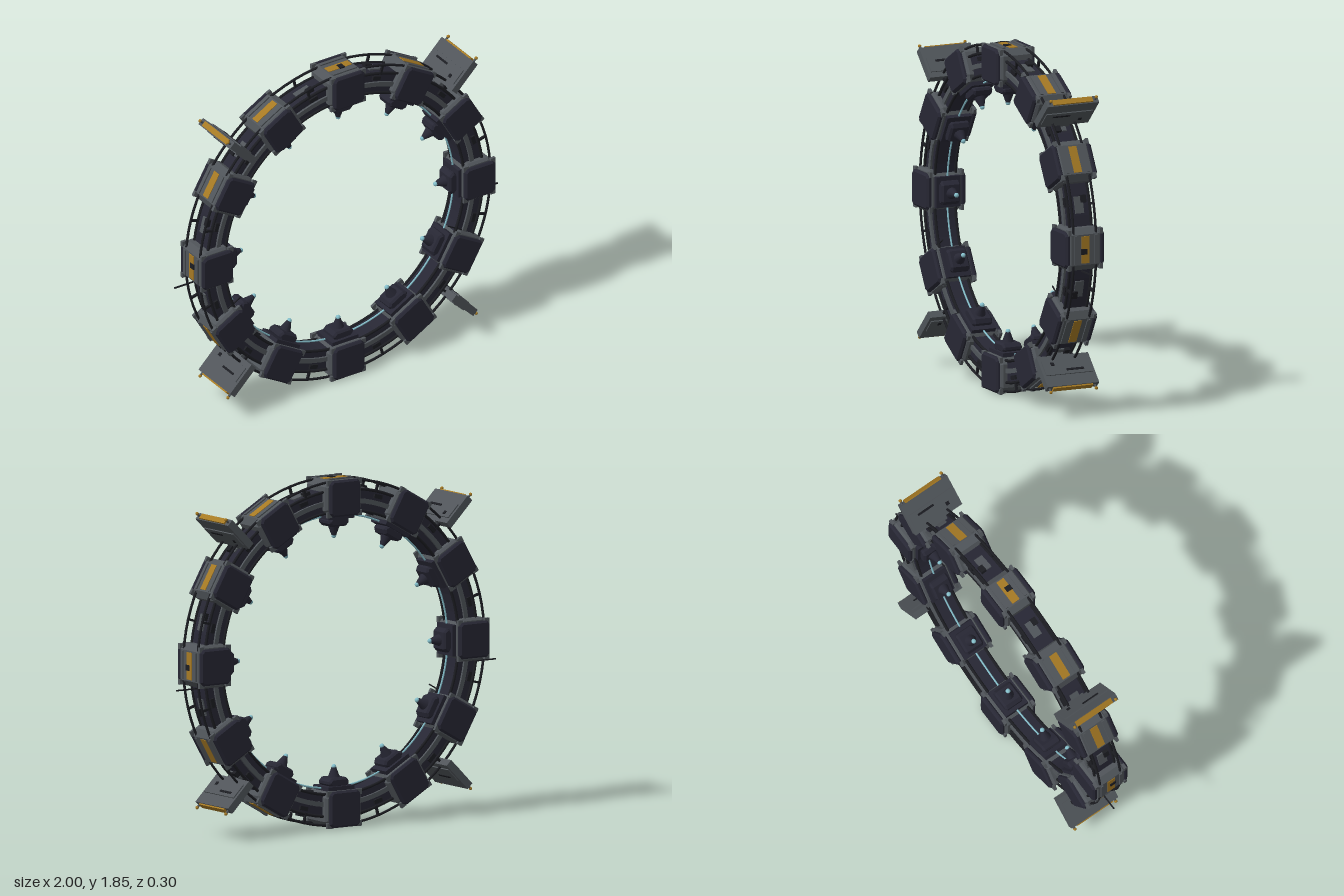
import * as THREE from 'three';

const mat = (name, color) => {
  const m = new THREE.MeshStandardMaterial({ color });
  m.name = name;
  return m;
};

export function createModel() {
  const navy = mat('dark navy armour', 0x272734);
  const grey = mat('gunmetal grey', 0x50555a);
  const amber = mat('amber', 0xa67a24);
  const cyan = mat('pale cyan', 0x86c0cc);
  const black = mat('near black', 0x1c1d22);

  const model = new THREE.Group();
  model.name = 'ringGate';
  const ring = new THREE.Group();
  ring.name = 'ring';
  ring.position.y = 0.928;
  model.add(ring);

  const add = (parent, name, geo, material, x = 0, y = 0, z = 0) => {
    const m = new THREE.Mesh(geo, material);
    m.name = name;
    m.position.set(x, y, z);
    parent.add(m);
    return m;
  };
  const box = (parent, name, material, w, h, d, x, y, z) =>
    add(parent, name, new THREE.BoxGeometry(w, h, d), material, x, y, z);
  // Group whose local +y points outward along the ring radius
  const spoke = (name, degrees) => {
    const g = new THREE.Group();
    g.name = name;
    g.rotation.z = -THREE.MathUtils.degToRad(degrees);
    ring.add(g);
    return g;
  };
  // Chamfered block, centred on its own origin, with bevelled front and back
  const block = (w, h, d, cut, bevel) => {
    const a = w / 2 - bevel, b = h / 2 - bevel;
    const s = new THREE.Shape([
      [a, -b + cut], [a, b - cut], [a - cut, b], [-a + cut, b],
      [-a, b - cut], [-a, -b + cut], [-a + cut, -b], [a - cut, -b],
    ].map(([x, y]) => new THREE.Vector2(x, y)));
    const g = new THREE.ExtrudeGeometry(s, {
      depth: d - 2 * bevel, bevelSize: bevel, bevelThickness: bevel, bevelSegments: 1,
    });
    return g.translate(0, 0, bevel - d / 2);
  };
  // Flat band of rectangular section running round the ring
  const band = (name, material, r0, r1, z0, z1) => {
    const s = new THREE.Shape().absarc(0, 0, r1, 0, Math.PI * 2);
    s.holes.push(new THREE.Path().absarc(0, 0, r0, 0, Math.PI * 2, true));
    add(ring, name, new THREE.ExtrudeGeometry(s, {
      depth: z1 - z0, bevelEnabled: false, curveSegments: 48,
    }), material, 0, 0, z0);
  };
  const hoop = (name, material, r, tube, z) =>
    add(ring, name, new THREE.TorusGeometry(r, tube, 8, 96), material, 0, 0, z);

  // Continuous ring structure
  band('ringCore', navy, 0.75, 0.865, -0.058, 0.058);
  for (const s of [-1, 1]) {
    band('sideRail', grey, 0.79, 0.815, s * 0.063 - 0.007, s * 0.063 + 0.007);
    hoop('outerConduit', black, 0.912, 0.007, s * 0.065);
    hoop('edgeCable', black, 0.865, 0.008, s * 0.064);
    hoop('innerCable', black, 0.75, 0.008, s * 0.06);
  }
  hoop('glowRing', cyan, 0.722, 0.005, 0);

  // Twelve modules with inward emitters
  const casing = block(0.226, 0.19, 0.186, 0.025, 0.012);
  const plate = block(0.192, 0.192, 0.03, 0.012, 0.01);
  const boss = block(0.125, 0.05, 0.11, 0.012, 0.01);
  const cone = new THREE.CylinderGeometry(0.036, 0.012, 0.065, 12);
  const tip = new THREE.SphereGeometry(0.013, 12, 8);
  for (let i = 0; i < 12; i++) {
    const g = spoke('module', i * 30);
    add(g, 'casing', casing, grey, 0, 0.823, 0);
    for (const s of [-1, 1]) {
      add(g, 'facePlate', plate, navy, 0, 0.822, s * 0.098);
      for (const t of [-1, 1]) {
        box(g, 'cornerClamp', grey, 0.03, 0.03, 0.016, t * 0.094, 0.906, s * 0.092);
        box(g, 'cornerClamp', grey, 0.03, 0.03, 0.016, t * 0.094, 0.738, s * 0.092);
      }
      box(g, 'topRail', grey, 0.15, 0.012, 0.016, 0, 0.919, s * 0.06);
    }
    box(g, 'amberStrip', amber, 0.145, 0.008, 0.046, 0, 0.917, 0);
    if (i % 3 === 0) box(g, 'stripClasp', black, 0.03, 0.012, 0.035, 0.01, 0.919, 0.01);
    box(g, 'emitterBase', navy, 0.165, 0.03, 0.14, 0, 0.722, 0);
    add(g, 'emitterBoss', boss, navy, 0, 0.69, 0);
    add(g, 'emitterCone', cone, navy, 0, 0.645, 0);
    add(g, 'emitterTip', tip, cyan, 0, 0.611, 0);
  }

  // Equipment boxes and brackets on the links between modules
  for (let i = 0; i < 12; i++) {
    const g = spoke('link', i * 30 + 15);
    const side = i % 2 ? 1 : -1;
    box(g, 'linkPad', grey, 0.09, 0.014, 0.05, 0, 0.864, 0);
    box(g, 'linkBox', black, 0.04, 0.02, 0.03, side * 0.03, 0.872, side * 0.025);
    for (const s of [-1, 1]) {
      box(g, 'sideBox', black, 0.05, 0.022, 0.016, side * s * 0.02, 0.838, s * 0.062);
      box(g, 'conduitBracket', black, 0.012, 0.055, 0.012, 0, 0.885, s * 0.065);
    }
  }

  // Four diagonal fins
  const fin = new THREE.BoxGeometry(0.04, 0.19, 0.3);
  for (let i = 0; i < 4; i++) {
    const g = spoke('fin', i * 90 + 45);
    box(g, 'finStrut', grey, 0.035, 0.07, 0.09, 0, 0.875, 0);
    add(g, 'finPanel', fin, grey, 0, 0.983, 0);
    box(g, 'finRib', grey, 0.052, 0.09, 0.27, 0, 0.965, 0);
    box(g, 'finEdgeStrip', amber, 0.03, 0.009, 0.23, 0, 1.082, 0);
    for (const s of [-1, 1]) {
      box(g, 'finSlot', black, 0.004, 0.012, 0.1, s * 0.027, 0.985, s * 0.04);
      box(g, 'finVent', black, 0.006, 0.02, 0.02, s * 0.026, 0.945, -s * 0.08);
      add(g, 'finPin', new THREE.CylinderGeometry(0.006, 0.006, 0.025, 8), grey, 0, 1.085, s * 0.132);
      add(g, 'finLamp', new THREE.SphereGeometry(0.009, 10, 8), amber, 0, 1.1, s * 0.132);
    }
  }

  // Thin antennae
  for (const s of [-1, 1]) {
    const z = s > 0 ? 0 : -0.04;
    box(ring, 'sideAntenna', black, 0.13, 0.007, 0.007, s * 0.935, -0.123, z);
    const a = box(ring, 'innerAntenna', black, 0.12, 0.006, 0.006, s * 0.7, -0.27, 0.06);
    a.rotation.z = -s * 0.52;
  }
  return model;
}
